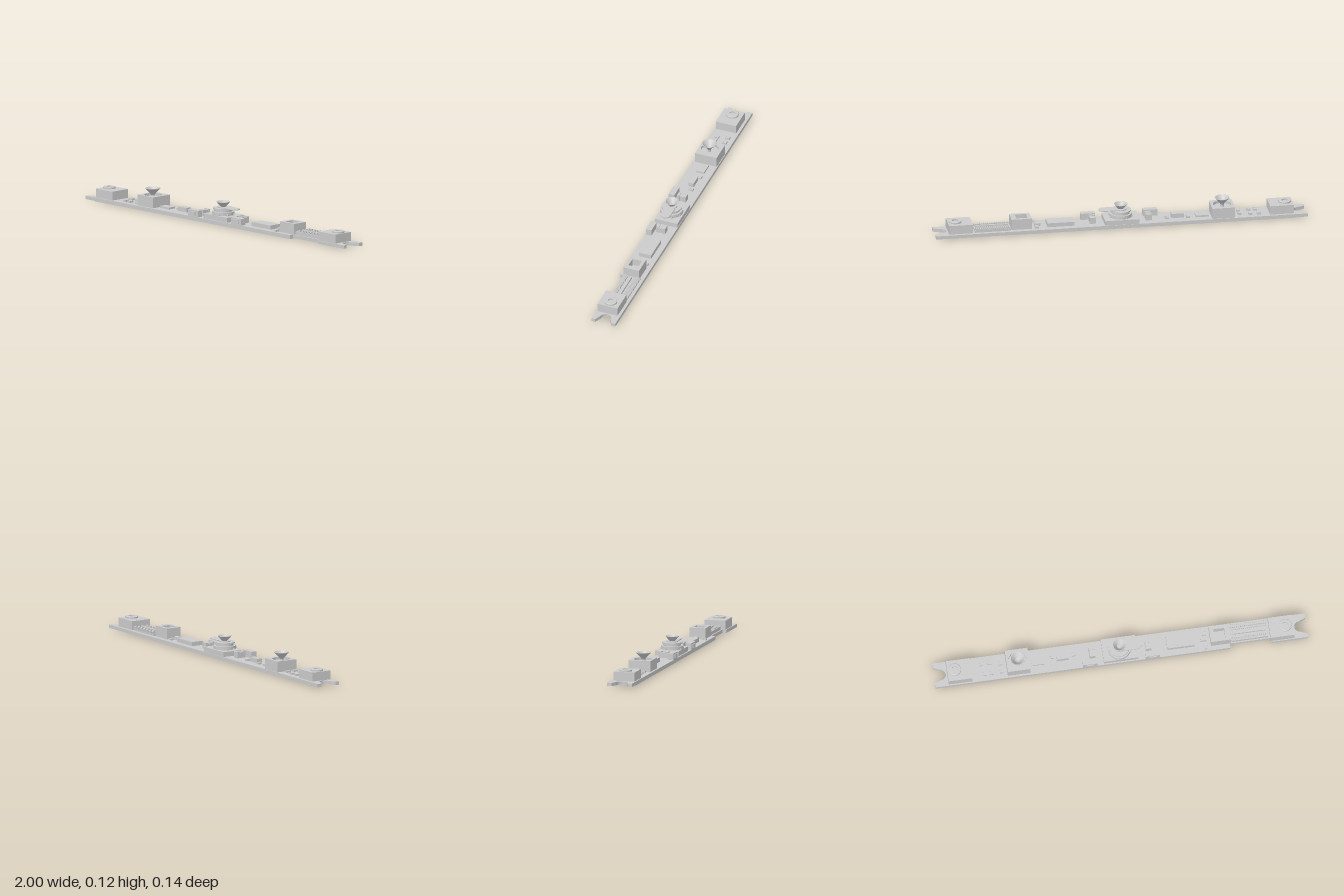
import * as THREE from 'three';

export function createModel() {
  const model = new THREE.Group();
  const mat = new THREE.MeshStandardMaterial({ color: 0xcccccc, flatShading: true });
  const thin = new THREE.MeshStandardMaterial({ color: 0xcccccc, flatShading: true, side: THREE.DoubleSide });
  const TOP = 0.022; // upper face of the circuit board

  const add = (name, geometry, material = mat) => {
    const mesh = new THREE.Mesh(geometry, material);
    mesh.name = name;
    model.add(mesh);
    return mesh;
  };
  // Box given by its limits
  const box = (name, x0, x1, z0, z1, y1, y0 = TOP) => {
    add(name, new THREE.BoxGeometry(x1 - x0, y1 - y0, z1 - z0))
      .position.set((x0 + x1) / 2, (y0 + y1) / 2, (z0 + z1) / 2);
  };
  const disc = (name, x, z, r, y0, y1, sides = 32) => {
    add(name, new THREE.CylinderGeometry(r, r, y1 - y0, sides)).position.set(x, (y0 + y1) / 2, z);
  };
  // Plan shape (x, z) extruded from y0 up to y1
  const slab = (name, shape, y0, y1) => {
    const g = new THREE.ExtrudeGeometry(shape, { depth: y1 - y0, bevelEnabled: false, curveSegments: 16 });
    g.rotateX(Math.PI / 2);
    add(name, g).position.y = y1;
  };
  const lathe = (name, x, z, profile, sides = 32) => {
    const g = new THREE.LatheGeometry(profile.map(([r, y]) => new THREE.Vector2(r, y)), sides);
    add(name, g, thin).position.set(x, 0, z);
  };
  const rect = (x0, x1, z0, z1) => new THREE.Shape([
    new THREE.Vector2(x0, z0), new THREE.Vector2(x1, z0),
    new THREE.Vector2(x1, z1), new THREE.Vector2(x0, z1)]);

  // Board with forked ends and a step beside the connector
  const board = new THREE.Shape();
  board.moveTo(-1, -0.07);
  board.lineTo(1, -0.07);
  board.lineTo(1, -0.045);
  board.lineTo(0.965, -0.03);
  board.bezierCurveTo(0.925, -0.025, 0.925, 0.025, 0.965, 0.03);
  board.lineTo(1, 0.045);
  board.lineTo(1, 0.065);
  board.lineTo(0.8, 0.065);
  board.lineTo(0.8, 0.043);
  board.lineTo(0.583, 0.043);
  board.lineTo(0.583, 0.067);
  board.lineTo(-1, 0.067);
  board.lineTo(-1, 0.045);
  board.lineTo(-0.965, 0.03);
  board.bezierCurveTo(-0.925, 0.025, -0.925, -0.025, -0.965, -0.03);
  board.lineTo(-1, -0.045);
  slab('circuitBoard', board, 0.004, TOP);
  box('backingSheet', -0.93, 0.58, -0.064, 0.064, 0.004, 0);
  box('connectorBacking', 0.6, 0.8, -0.035, 0.035, 0.004, 0.001);

  // Mounting blocks with a ring boss at both ends
  for (const s of [-1, 1]) {
    const a = s * 0.8, b = s * 0.928;
    box('mountBlock', Math.min(a, b), Math.max(a, b), -0.055, 0.06, 0.07);
    lathe('mountBoss', s * 0.887, 0,
      [[0.034, 0.07], [0.034, 0.078], [0.031, 0.08], [0.016, 0.08], [0.016, 0.072], [0, 0.072]]);
  }

  // Lens block: hollow square housing with an open funnel
  const housing = rect(-0.61, -0.488, -0.066, 0.056);
  housing.holes.push(new THREE.Path().absarc(-0.55, -0.003, 0.048, 0, Math.PI * 2, true));
  slab('lensHousing', housing, TOP, 0.08);
  disc('lensFloor', -0.55, -0.003, 0.048, TOP, 0.066);
  const funnel = [[0, 0.078], [0.01, 0.08], [0.016, 0.089], [0.04, 0.115], [0.04, 0.117], [0.036, 0.117], [0.013, 0.09], [0, 0.086]];
  lathe('lensFunnel', -0.55, 0, funnel);
  disc('lensStem', -0.55, 0, 0.01, 0.066, 0.08, 16);

  // Central lens: stepped base, rings, funnel and flat tab
  box('centreBase', -0.095, 0.09, -0.068, 0.06, 0.048);
  const cx = -0.004;
  disc('centreCollar', cx, 0, 0.06, 0.048, 0.066);
  disc('centreRing', cx, 0, 0.048, 0.066, 0.078);
  disc('centreCap', cx, 0, 0.055, 0.078, 0.085);
  disc('centreStem', cx, 0, 0.03, 0.085, 0.09);
  lathe('centreFunnel', cx, 0, funnel.map(([r, y]) => [r * 0.9, y]));
  const tab = new THREE.Shape();
  tab.moveTo(0.02, -0.027);
  tab.lineTo(0.088, -0.027);
  tab.absarc(0.088, 0, 0.027, -Math.PI / 2, Math.PI / 2, false);
  tab.lineTo(0.02, 0.027);
  slab('centreTab', tab, 0.085, 0.09);
  for (let i = 0; i < 8; i++) {
    const t = (i + 0.5) * Math.PI / 4;
    disc('ringStud', cx + 0.062 * Math.cos(t), 0.056 * Math.sin(t), 0.006, 0.048, 0.056, 10);
  }

  // Square open socket
  const socket = rect(0.482, 0.59, -0.045, 0.042);
  socket.holes.push(rect(0.503, 0.562, -0.028, 0.026));
  slab('socketFrame', socket, TOP, 0.08);
  box('socketFloor', 0.503, 0.562, -0.028, 0.026, 0.04);

  // Ribbon connector with two rows of pins
  box('connectorBody', 0.595, 0.788, -0.03, 0.018, 0.034);
  box('connectorRidge', 0.605, 0.78, -0.012, 0.0, 0.045);
  box('connectorRail', 0.595, 0.788, 0.026, 0.036, 0.04);
  box('connectorBackRail', 0.595, 0.788, -0.052, -0.042, 0.036);
  for (let i = 0; i < 18; i++) {
    const x = 0.602 + i * 0.0104;
    box('connectorPin', x, x + 0.005, -0.058, -0.025, 0.045, 0.034);
    box('connectorPin', x, x + 0.005, 0.012, 0.03, 0.045, 0.034);
  }

  // Chips: x0, x1, z0, z1, top
  [
    [-0.475, -0.405, -0.027, 0.02, 0.032],
    [-0.342, -0.275, -0.018, 0.012, 0.046],
    [0.25, 0.395, -0.038, 0.032, 0.044],
    [0.43, 0.462, -0.013, 0.012, 0.038],
    [-0.165, -0.137, -0.027, 0.022, 0.052],
    [0.135, 0.164, -0.027, 0.022, 0.052],
  ].forEach(c => box('chip', ...c));

  // Edge switches on either side of the centre
  for (const x of [-0.207, 0.128]) {
    box('edgeSwitch', x, x + 0.077, 0.035, 0.067, 0.057);
    box('switchButton', x + 0.02, x + 0.057, 0.067, 0.072, 0.05, 0.03);
  }
  // End caps of the two upright chips
  for (const x of [-0.151, 0.15]) {
    for (const z of [-0.021, 0.016]) box('chipCap', x - 0.016, x + 0.016, z - 0.007, z + 0.007, 0.056);
  }

  // Small surface components: x, z
  [
    [-0.742, -0.03], [-0.697, -0.03], [-0.73, 0.027], [-0.695, 0.027],
    [-0.363, -0.018], [-0.25, -0.015], [0.453, -0.033], [0.455, 0.045],
    [-0.64, -0.02], [-0.64, 0.025],
  ].forEach(([x, z]) => {
    box('smallComponent', x - 0.009, x + 0.009, z - 0.011, z + 0.011, 0.031);
    for (const s of [-1, 1]) {
      box('componentTerminal', x - 0.01, x + 0.01, z + s * 0.009 - 0.003, z + s * 0.009 + 0.003, 0.032);
    }
  });

  return model;
}
